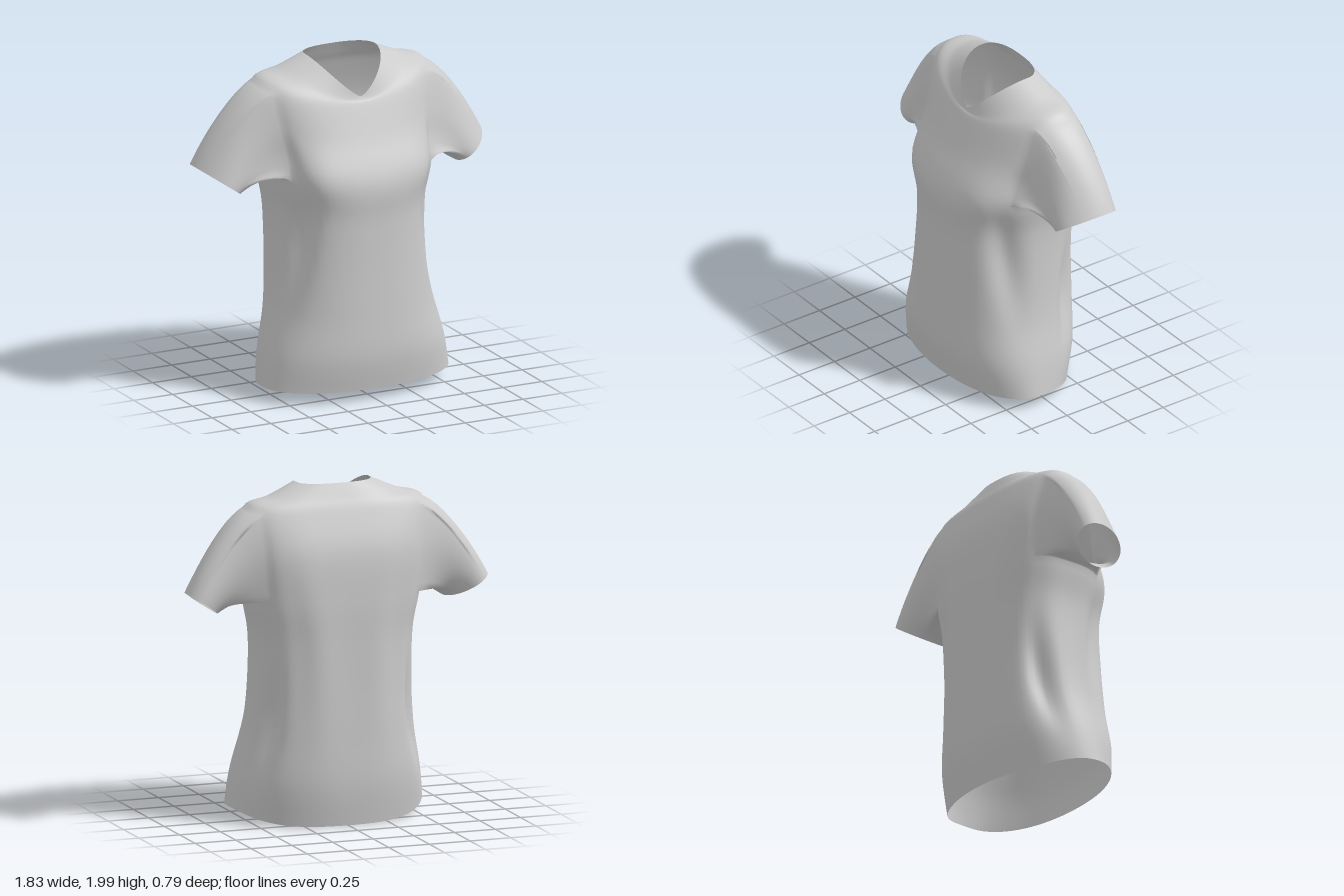
import * as THREE from 'three';

const COLS = 72, SUB = 6;             // points per ring, rows between key rings
const ARM = { c0: 12, c1: 25, r0: 5 * SUB, r1: 7 * SUB }; // armhole block
const SLEEVE_ROWS = 18;

// Key rings, hem to neckline: half width, front z, middle z, back z,
// front y, side y, back y, front roundness, back roundness, y blend
const KEYS = [
  [0.59, 0.37, 0.08, -0.35, 0.07, 0.08, 0.0, 0.95, 0.95, 4],
  [0.56, 0.40, 0.05, -0.385, 0.27, 0.27, 0.24, 0.88, 0.85, 3],
  [0.505, 0.395, 0.0, -0.39, 0.52, 0.52, 0.52, 0.85, 0.8, 2],
  [0.48, 0.385, -0.02, -0.39, 0.8, 0.8, 0.8, 0.85, 0.78, 2],
  [0.475, 0.38, -0.04, -0.39, 1.07, 1.1, 1.08, 0.85, 0.75, 2],
  [0.51, 0.38, -0.05, -0.39, 1.3, 1.325, 1.33, 0.85, 0.68, 2],
  [0.53, 0.275, -0.08, -0.37, 1.54, 1.62, 1.6, 0.85, 0.6, 2],
  [0.54, 0.198, -0.11, -0.295, 1.72, 1.855, 1.82, 0.9, 0.7, 1.9],
  [0.385, 0.18, -0.11, -0.25, 1.75, 1.915, 1.91, 0.95, 0.8, 1.6],
  [0.225, 0.17, -0.09, -0.21, 1.77, 1.985, 1.985, 1, 0.8, 1.3],
];

// Smooth interpolation of the key rings
function ringAt(row) {
  const i = Math.min(Math.floor(row / SUB), KEYS.length - 2);
  const t = row / SUB - i;
  const [a, b, c, d] = [-1, 0, 1, 2].map(
    (k) => KEYS[THREE.MathUtils.clamp(i + k, 0, KEYS.length - 1)]);
  return b.map((v, j) => {
    const m0 = (c[j] - a[j]) / 2, m1 = (d[j] - v) / 2;
    return v + t * m0 + t * t * (3 * (c[j] - v) - 2 * m0 - m1)
      + t * t * t * (2 * (v - c[j]) + m0 + m1);
  });
}

const bell = (x, centre, width) => Math.exp(-(((x - centre) / width) ** 2));

function torsoPoint(row, col) {
  const [w, zf, zc, zb, yf, ys, yb, pf, pb, q] = ringAt(row);
  const t = (col / COLS) * Math.PI * 2;
  const s = Math.sin(t), c = Math.cos(t);
  const power = (v, e) => Math.sign(v) * Math.abs(v) ** e;
  const front = c > 0;
  const p = front ? pf : pb;
  const side = Math.abs(s) ** q;
  const y = (front ? yf : yb) * (1 - side) + ys * side;
  const deg = THREE.MathUtils.radToDeg(Math.acos(THREE.MathUtils.clamp(c, -1, 1)));
  // Waist creases, bust fullness and soft vertical folds on the back
  let k = 1;
  k -= 0.11 * bell(deg, 70 - 22 * (y - 0.5), 13) * bell(y, 0.95, 0.33);
  k -= 0.11 * bell(deg, 118 + 12 * (y - 0.5), 11) * bell(y, 0.6, 0.28);
  k += 0.05 * bell(deg, 36, 18) * bell(y, 1.36, 0.13);
  k -= 0.04 * bell(deg, 60, 9) * bell(y, 1.46, 0.1);
  k += 0.02 * Math.cos(t * 11) * bell(deg, 180, 50) * bell(y, 1.0, 0.5);
  return new THREE.Vector3(
    w * power(s, p) * k,
    y,
    zc + (front ? zf - zc : zc - zb) * power(c, p) * k);
}

// Grid points around the armhole edge, from its lower front corner,
// each with its neighbour on the torso side
function armholeLoop() {
  const { c0, c1, r0, r1 } = ARM, loop = [];
  for (let c = c0; c < c1; c++) loop.push([r0, c, r0 - 1, c]);
  for (let r = r0; r < r1; r++) loop.push([r, c1, r, c1 + 1]);
  for (let c = c1; c > c0; c--) loop.push([r1, c, r1 + 1, c]);
  for (let r = r1; r > r0; r--) loop.push([r, c0, r, c0 - 1]);
  return loop;
}

export function createModel() {
  const points = [];
  const rows = (KEYS.length - 1) * SUB;
  const id = (r, c) => r * COLS + ((c + COLS) % COLS);
  const quad = (list, a, b, c, d, flip) =>
    flip ? list.push(a, c, b, b, c, d) : list.push(a, b, c, b, d, c);

  // Torso: stacked rings with the armholes left open
  const torso = [];
  const inArm = (r, c) => r >= ARM.r0 && r < ARM.r1 && c >= ARM.c0 && c < ARM.c1;
  for (let r = 0; r <= rows; r++) {
    for (let c = 0; c < COLS; c++) {
      points.push(torsoPoint(r, c));
      if (r === rows || inArm(r, c) || inArm(r, COLS - 1 - c)) continue;
      quad(torso, id(r, c), id(r, c + 1), id(r + 1, c), id(r + 1, c + 1), false);
    }
  }

  // Sleeves: leave the torso along its surface and curve to a tilted cuff
  const loop = armholeLoop(), n = loop.length;
  const mix = THREE.MathUtils.lerp;
  const makeSleeve = (sign) => {
    const index = [];
    const curves = loop.map(([r, c, nr, nc], k) => {
      const phi = -Math.PI / 4 + (k / n) * Math.PI * 2;
      const up = (1 - Math.cos(phi)) / 2;
      const p0 = points[id(r, sign * c)];
      const p3 = new THREE.Vector3(
        sign * (0.808 - 0.108 * Math.cos(phi)),
        1.315 - 0.075 * Math.cos(phi),
        -0.09 - 0.17 * Math.sin(phi - 0.4));
      const p1 = p0.clone().sub(points[id(nr, sign * nc)])
        .setLength(0.03 + 0.06 * Math.abs(Math.sin(phi))).add(p0)
        .add(new THREE.Vector3(sign * mix(0.03, 0.1, up), mix(0, -0.03, up), 0));
      const p2 = p3.clone().sub(
        new THREE.Vector3(sign * mix(0.07, 0.09, up), mix(-0.04, -0.18, up), 0));
      return new THREE.CubicBezierCurve3(p0, p1, p2, p3);
    });
    let ring = loop.map(([r, c]) => id(r, sign * c));
    for (let j = 1; j <= SLEEVE_ROWS; j++) {
      const next = curves.map((curve) => points.push(curve.getPoint(j / SLEEVE_ROWS)) - 1);
      for (let k = 0; k < n; k++) {
        const m = (k + 1) % n;
        quad(index, ring[k], ring[m], next[k], next[m], sign < 0);
      }
      ring = next;
    }
    return index;
  };
  const parts = { torso, leftSleeve: makeSleeve(1), rightSleeve: makeSleeve(-1) };

  // Shared points and normals keep the sleeve seams smooth
  const whole = new THREE.BufferGeometry().setFromPoints(points);
  whole.setIndex(Object.values(parts).flat());
  whole.computeVertexNormals();

  const material = new THREE.MeshStandardMaterial({ color: 0xcccccc, side: THREE.DoubleSide });
  const group = new THREE.Group();
  group.name = 'shirt';
  for (const [name, index] of Object.entries(parts)) {
    const geometry = new THREE.BufferGeometry();
    geometry.setAttribute('position', whole.getAttribute('position').clone());
    geometry.setAttribute('normal', whole.getAttribute('normal').clone());
    geometry.setIndex(index);
    const mesh = new THREE.Mesh(geometry, material);
    mesh.name = name;
    group.add(mesh);
  }
  return group;
}
